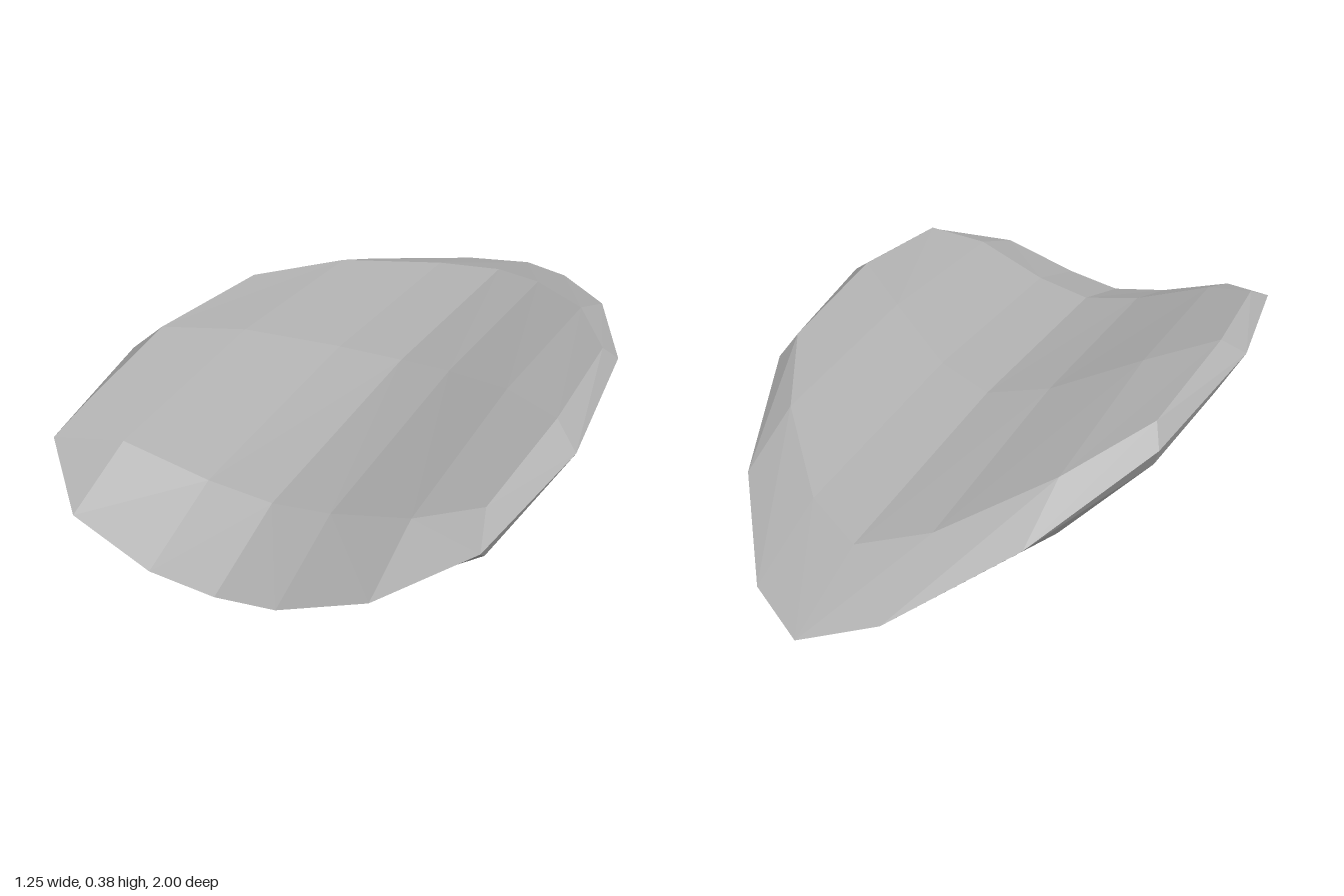
import * as THREE from 'three';

// Half cross-sections from the centre line outwards.
// x: [rim, inner, mid]; z: [rear rim, rear inner, mid, front inner, front rim];
// y: [rim, upper inner, upper mid, lower inner, lower mid]
const SECTIONS = [
  { x: [0, 0, 0], z: [-1, -0.73, 0, 0.72, 0.99], y: [0.127, 0.215, 0.247, 0.037, 0] },
  { x: [0.165, 0.165, 0.165], z: [-0.9, -0.64, 0.05, 0.735, 1], y: [0.153, 0.243, 0.276, 0.065, 0.031] },
  { x: [0.383, 0.383, 0.383], z: [-0.6, -0.39, 0.19, 0.765, 0.98], y: [0.232, 0.314, 0.347, 0.146, 0.112] },
  { x: [0.562, 0.533, 0.56], z: [-0.16, -0.105, 0.33, 0.71, 0.81], y: [0.304, 0.356, 0.383, 0.224, 0.22] },
  { x: [0.625, 0.625, 0.625], z: [0.38, 0.38, 0.38, 0.38, 0.38], y: [0.33, 0.33, 0.33, 0.33, 0.33] },
];
const SHIFT = [-0.01, -0.01, -0.008, -0.003, 0]; // slight sideways drift of the spine

function point(column, row, upper) {
  const i = Math.abs(column);
  const s = SECTIONS[i];
  const level = 2 - Math.abs(row - 2); // 0 rim, 1 inner ring, 2 middle
  const x = Math.sign(column) * s.x[level] + SHIFT[i];
  const y = s.y[level === 0 || upper ? level : level + 2];
  return new THREE.Vector3(x, y, s.z[row]);
}

// One curved face of the shell, built as flat facets
function shellFace(upper) {
  const positions = [];
  const triangle = (a, b, c) => {
    const corners = upper ? [a, b, c] : [a, c, b];
    if (new THREE.Triangle(a, b, c).getArea() < 1e-6) return;
    for (const p of corners) positions.push(p.x, p.y, p.z);
  };
  for (let i = -4; i < 4; i++) {
    for (let j = 0; j < 4; j++) {
      const a = point(i, j, upper), b = point(i, j + 1, upper);
      const c = point(i + 1, j + 1, upper), d = point(i + 1, j, upper);
      // Mirror the diagonals about the centre line
      if (i >= 0) {
        triangle(a, b, c);
        triangle(a, c, d);
      } else {
        triangle(a, b, d);
        triangle(b, c, d);
      }
    }
  }
  const geometry = new THREE.BufferGeometry();
  geometry.setAttribute('position', new THREE.Float32BufferAttribute(positions, 3));
  geometry.computeVertexNormals();
  return geometry;
}

export function createModel() {
  const group = new THREE.Group();
  group.name = 'curvedScale';
  const grey = new THREE.MeshStandardMaterial({ color: 0xb0b0b0 });
  grey.name = 'grey';
  for (const upper of [true, false]) {
    const mesh = new THREE.Mesh(shellFace(upper), grey);
    mesh.name = upper ? 'upperShell' : 'lowerShell';
    group.add(mesh);
  }
  return group;
}
